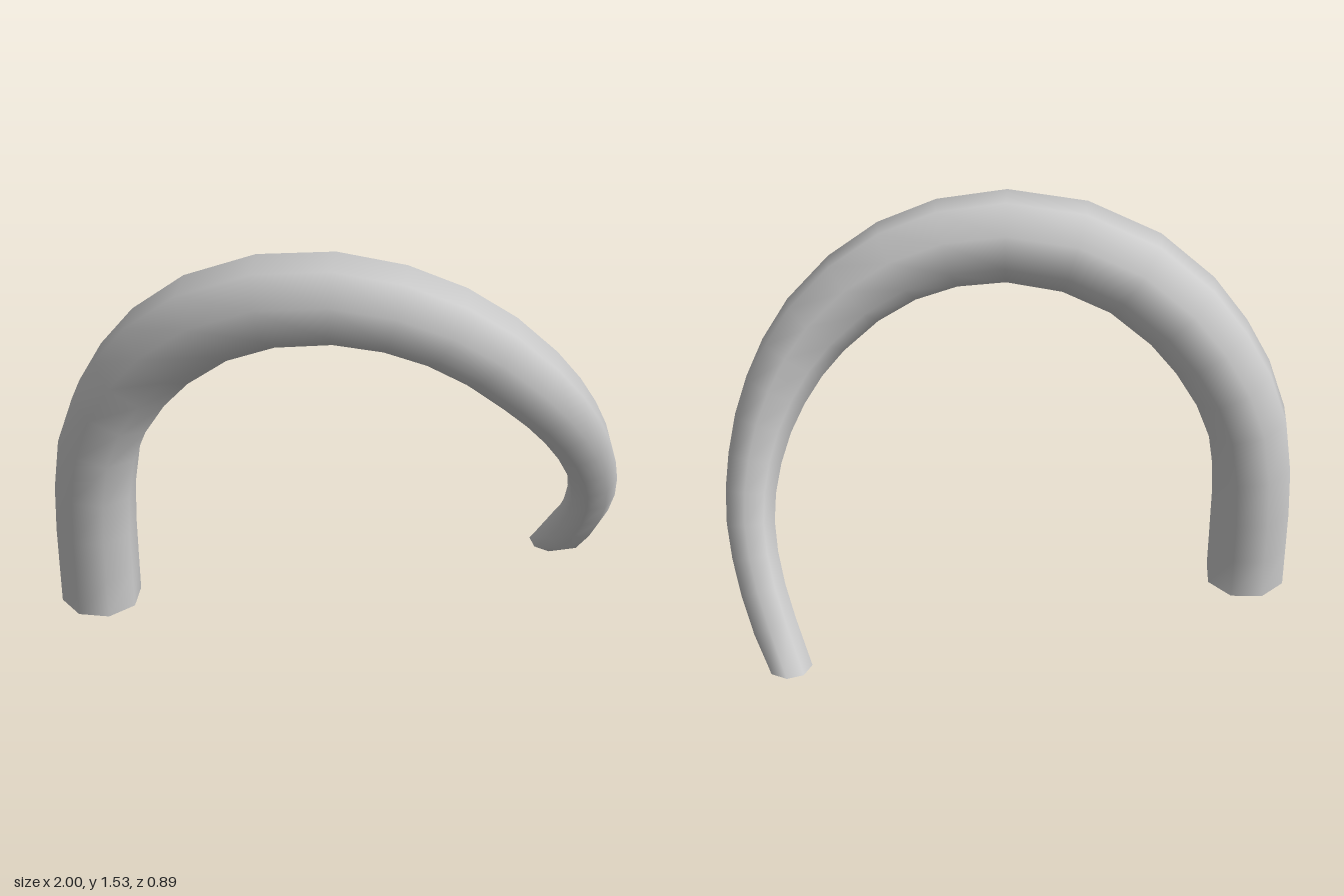
import * as THREE from 'three';

// Centre line stations: x, y, z, radius
const STATIONS = [
  [-0.853, 0, -0.292, 0.148], [-0.855, 0.22, -0.292, 0.148], [-0.853, 0.46, -0.291, 0.148],
  [-0.82, 0.72, -0.268, 0.151], [-0.735, 0.93, -0.222, 0.156], [-0.61, 1.12, -0.145, 0.162],
  [-0.39, 1.30, -0.02, 0.164], [-0.09, 1.374, 0.125, 0.161], [0.18, 1.33, 0.227, 0.154],
  [0.4, 1.215, 0.287, 0.146], [0.595, 1.04, 0.311, 0.134], [0.715, 0.89, 0.29, 0.119],
  [0.805, 0.74, 0.25, 0.106], [0.87, 0.585, 0.19, 0.094], [0.907, 0.445, 0.124, 0.088],
  [0.917, 0.3, 0.042, 0.084], [0.907, 0.15, -0.065, 0.082], [0.88, 0, -0.195, 0.081],
];
const SIDES = 8;
const RINGS = 25;

// Sweeps a tapered ring along the stations, with level open ends
function taperedTube() {
  const curve = new THREE.CatmullRomCurve3(STATIONS.map(([x, y, z]) => new THREE.Vector3(x, y, z)));
  const radiusAt = (t) => {
    const f = t * (STATIONS.length - 1);
    const i = Math.min(Math.floor(f), STATIONS.length - 2);
    return THREE.MathUtils.lerp(STATIONS[i][3], STATIONS[i + 1][3], f - i);
  };
  const positions = [];
  const indices = [];
  const previous = new THREE.Vector3(0, 1, 0);
  const frame = new THREE.Quaternion();
  const turn = new THREE.Quaternion();
  for (let i = 0; i < RINGS; i++) {
    const t = i / (RINGS - 1);
    const centre = curve.getPoint(t);
    const tangent = curve.getTangent(t);
    if (i === 0) tangent.set(0, 1, 0);
    if (i === RINGS - 1) tangent.set(0, -1, 0);
    // carry the ring round the bend without twisting
    frame.premultiply(turn.setFromUnitVectors(previous, tangent));
    previous.copy(tangent);
    const r = radiusAt(t);
    for (let j = 0; j < SIDES; j++) {
      const a = (j / SIDES) * Math.PI * 2;
      const p = new THREE.Vector3(Math.cos(a) * r, 0, Math.sin(a) * r).applyQuaternion(frame).add(centre);
      positions.push(p.x, p.y, p.z);
      if (i < RINGS - 1) {
        const k = i * SIDES + j;
        const n = i * SIDES + ((j + 1) % SIDES);
        indices.push(k, k + SIDES, n, n, k + SIDES, n + SIDES);
      }
    }
  }
  const geometry = new THREE.BufferGeometry();
  geometry.setAttribute('position', new THREE.Float32BufferAttribute(positions, 3));
  geometry.setIndex(indices);
  geometry.computeVertexNormals();
  return geometry;
}

export function createModel() {
  const group = new THREE.Group();
  group.name = 'archedTentacle';
  const material = new THREE.MeshStandardMaterial({ color: 0xcccccc, side: THREE.DoubleSide });
  const tube = new THREE.Mesh(taperedTube(), material);
  tube.name = 'taperedTube';
  group.add(tube);
  return group;
}
